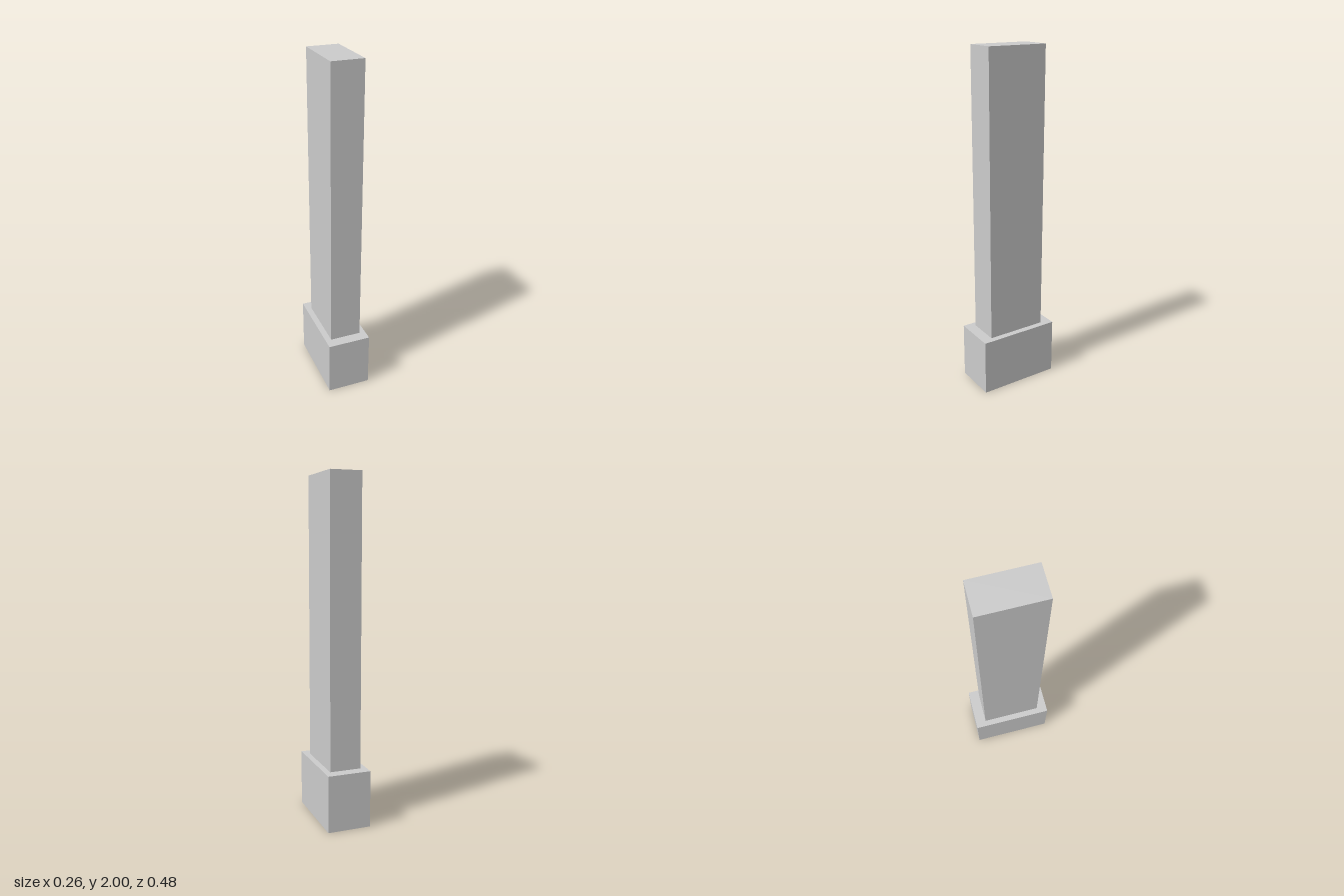
import * as THREE from 'three';

export function createModel() {
  const model = new THREE.Group();
  const material = new THREE.MeshStandardMaterial({ color: 0xcccccc, flatShading: true });

  // Adds a box centred on the y axis, standing on the given height
  function addBlock(name, width, height, depth, bottom) {
    const block = new THREE.Mesh(new THREE.BoxGeometry(width, height, depth), material);
    block.name = name;
    block.position.y = bottom + height / 2;
    model.add(block);
  }

  const baseHeight = 0.333;
  addBlock('base', 0.256, baseHeight, 0.484, 0); // wide plinth
  addBlock('column', 0.185, 2 - baseHeight, 0.356, baseHeight); // tall shaft

  return model;
}
